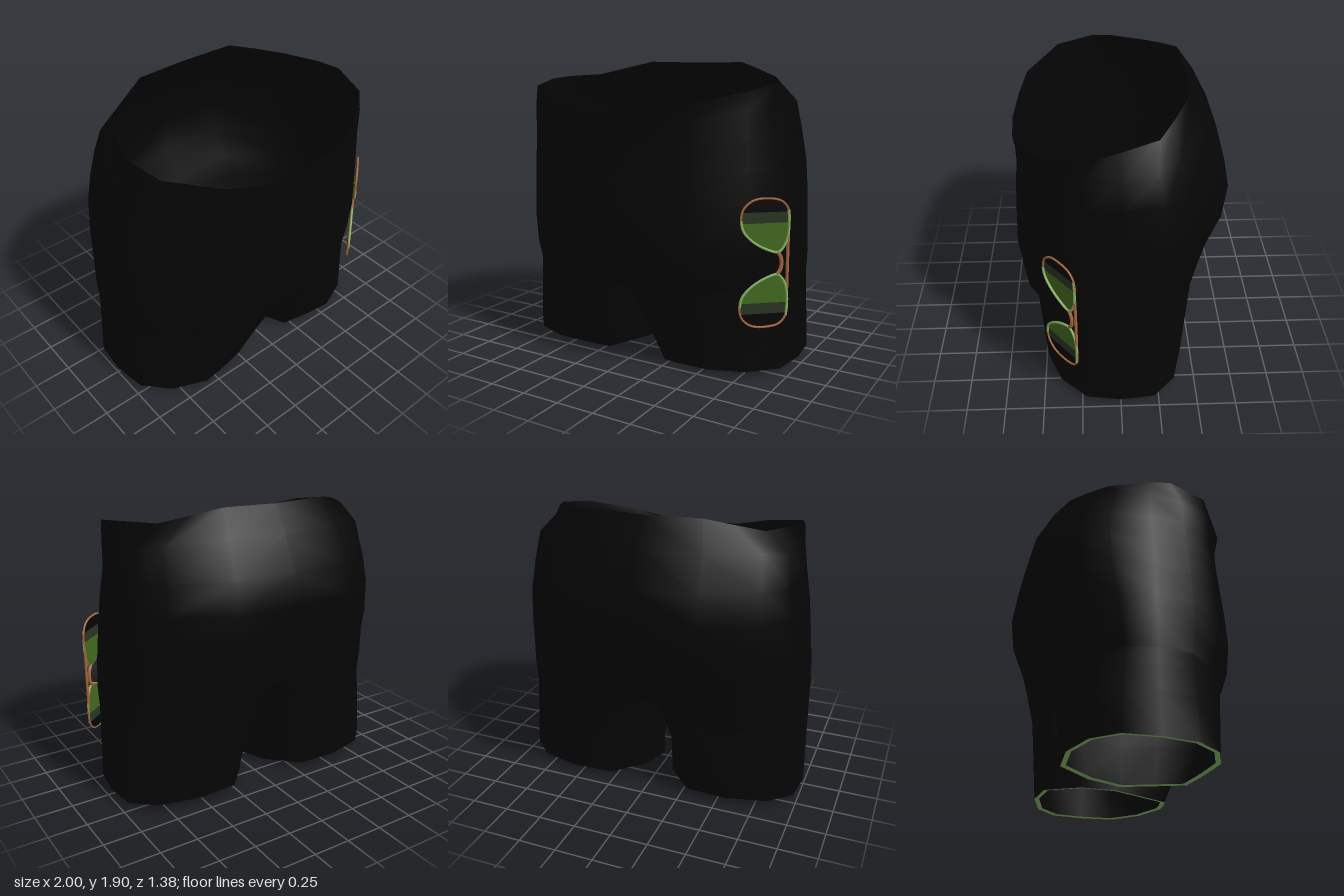
import * as THREE from 'three';
import { mergeVertices } from 'three/addons/utils/BufferGeometryUtils.js';

const mat = (name, color) => new THREE.MeshStandardMaterial({ name, color, side: THREE.DoubleSide });
const lerp = THREE.MathUtils.lerp;
const CENTRE = -0.01;

// Half sections run from front centre, round the model's left side, to back centre
const outline = [[0, 1], [.31, .96], [.54, .88], [.795, .635], [.965, .33], [1, -.02], [.965, -.39], [.82, -.635], [.46, -.985], [0, -1]];
const waist = [
  [0, 1.6, .66], [.28, 1.62, .64], [.5, 1.675, .595], [.785, 1.75, .39], [.85, 1.79, .14],
  [.8, 1.805, 0], [.69, 1.815, -.22], [.53, 1.86, -.32], [.36, 1.905, -.41], [0, 1.9, -.43],
];
// height, half width, front depth, back depth, tilt, depth of the back cleft
const levels = [
  [1.63, .874, .655, .535, .7, 0], [1.46, .9, .652, .648, .4, 0], [1.28, .93, .665, .687, .3, 0],
  [1.08, .952, .68, .66, .15, .02], [.86, .972, .69, .575, .25, .04], [.68, .985, .66, .535, .5, .06],
];
// Seam between the legs, from back to front
const seam = [[0, .58, -.25], [0, .51, .02], [0, .53, .26]];
const hem = [
  [.22, 0, .4], [.4, .02, .45], [.58, .04, .485], [.8, .035, .39], [.95, .03, .22], [.985, .035, .0], [.965, .04, -.22],
  [.82, .045, -.36], [.55, .05, -.43], [.28, .045, -.41], [.1, .03, -.2], [.045, .01, .02], [.13, .005, .21],
];

// The front corner (column 3) stays nearly upright while the sides taper
const section = ([y, w, front, back, tilt, cleft]) => outline.map(([x, z], i) => [
  x * (i === 3 ? lerp(w, 1, .85) : w),
  y + tilt * (waist[i][1] - 1.76),
  z * (z > 0 ? front : back) + (i === 9 ? cleft : 0),
]);

// Loft rows of points, mirrored to both sides
function loft(strips) {
  const pos = [];
  for (const side of [1, -1]) {
    for (const { rows, closed } of strips) {
      for (let r = 0; r < rows.length - 1; r++) {
        const n = Math.min(rows[r].length, rows[r + 1].length);
        for (let i = 0; i < (closed ? n : n - 1); i++) {
          const j = (i + 1) % n;
          const a = rows[r][i], b = rows[r][j], c = rows[r + 1][i], d = rows[r + 1][j];
          const corners = side > 0 ? [a, c, b, b, c, d] : [a, b, c, b, d, c];
          for (const p of corners) pos.push(p[0] * side + CENTRE, p[1], p[2]);
        }
      }
    }
  }
  let geo = new THREE.BufferGeometry();
  geo.setAttribute('position', new THREE.Float32BufferAttribute(pos, 3));
  geo = mergeVertices(geo, 1e-4);
  geo.computeVertexNormals();
  return geo;
}

function buildShorts(fabric, trim) {
  const group = new THREE.Group();
  group.name = 'shorts';

  // Hips and crotch line
  const crotch = section([.55, .985, .6, .49, 0, .05]);
  crotch[9][1] = .71;
  const crotchRing = [...crotch, ...seam];
  const upper = [waist, ...levels.map(section), crotch];

  // Legs blend from the crotch line to the hem, with a rounded gap between them
  const legs = [0, .01, .03, .07, .2, .5, 1].map(t => crotchRing.map((p, i) => {
    const h = hem[i];
    const arch = Math.sqrt(1 - (1 - Math.min(1, t / .07)) ** 2);
    const spread = i > 9 ? arch : (i === 0 || i === 9) ? Math.sqrt(t) : t;
    return [lerp(p[0], h[0], spread), lerp(p[1], h[1], t), lerp(p[2], h[2], t)];
  }));
  const body = new THREE.Mesh(loft([{ rows: upper }, { rows: legs, closed: true }]), fabric);
  body.name = 'shortsBody';

  // Narrow hem turned inward at each leg opening
  const inset = hem.map(([x, y, z]) => [lerp(x, .52, .07), y + .004, lerp(z, .02, .07)]);
  const hems = new THREE.Mesh(loft([{ rows: [hem, inset], closed: true }]), trim);
  hems.name = 'legHems';
  group.add(body, hems);
  return group;
}

function buildGlasses(mats) {
  const group = new THREE.Group();
  group.name = 'sunglasses';
  const MID = .735;

  // Teardrop lens outline in the plane of the glasses
  const drop = [[.01, 1], [.025, 1.07], [.085, 1.12], [.18, 1.13], [.26, 1.112], [.3, 1.06], [.305, .95],
    [.288, .86], [.245, .805], [.165, .825], [.075, .88], [.024, .94]];
  const curve = new THREE.CatmullRomCurve3(drop.map(([x, y]) => new THREE.Vector3(x, y, 0)), true);
  const points = curve.getSpacedPoints(400).slice(0, -1);
  const bands = [['lensGreen', 0, .99, mats.lens], ['lensBand', .98, 1.055, mats.band], ['lensDark', 1.045, 2, mats.fabric]];

  const tube = (name, path, r, material, closed = false) => {
    const m = new THREE.Mesh(new THREE.TubeGeometry(path, 48, r, 6, closed), material);
    m.name = name;
    return m;
  };

  for (const flip of [false, true]) {
    const place = p => new THREE.Vector3(p.x, flip ? 2 * MID - p.y : p.y, p.z);
    const half = new THREE.Group();
    half.name = flip ? 'lowerLens' : 'upperLens';
    bands.forEach(([name, lo, hi, material], k) => {
      const part = points.filter(p => p.y >= lo && p.y <= hi).map(place);
      const plate = new THREE.Mesh(new THREE.ShapeGeometry(new THREE.Shape(part)), material);
      plate.name = name;
      plate.position.z = -.006 + k * .001;
      half.add(plate);
    });
    // Copper rim with a green edge round the tinted part
    half.add(tube('rim', new THREE.CatmullRomCurve3(drop.map(([x, y]) => place({ x, y, z: 0 })), true), .007, mats.copper, true));
    const edge = [...drop.slice(5), drop[0]].map(([x, y]) => place({ x, y, z: .003 }));
    half.add(tube('rimEdge', new THREE.CatmullRomCurve3(edge), .008, mats.trim));
    group.add(half);
  }

  // Nose bridge and brow bar
  const bridge = [[.235, .81], [.258, .775], [.265, MID], [.258, .695], [.235, .66]];
  group.add(tube('bridge', new THREE.CatmullRomCurve3(bridge.map(([x, y]) => new THREE.Vector3(x, y, 0))), .012, mats.copper));
  group.add(tube('browBar', new THREE.LineCurve3(new THREE.Vector3(.302, .55, 0), new THREE.Vector3(.302, .92, 0)), .01, mats.copper));

  group.position.set(.76, 0, .47);
  group.rotation.y = Math.atan2(.205, .24);
  return group;
}

export function createModel() {
  const mats = {
    fabric: mat('black fabric', 0x050505),
    trim: mat('light green trim', 0x88b86a),
    lens: mat('green lens', 0x446a1f),
    band: mat('dark lens band', 0x2a3424),
    copper: mat('copper frame', 0xa8693c),
  };
  const model = new THREE.Group();
  model.name = 'shortsWithSunglasses';
  model.add(buildShorts(mats.fabric, mats.trim), buildGlasses(mats));
  return model;
}
